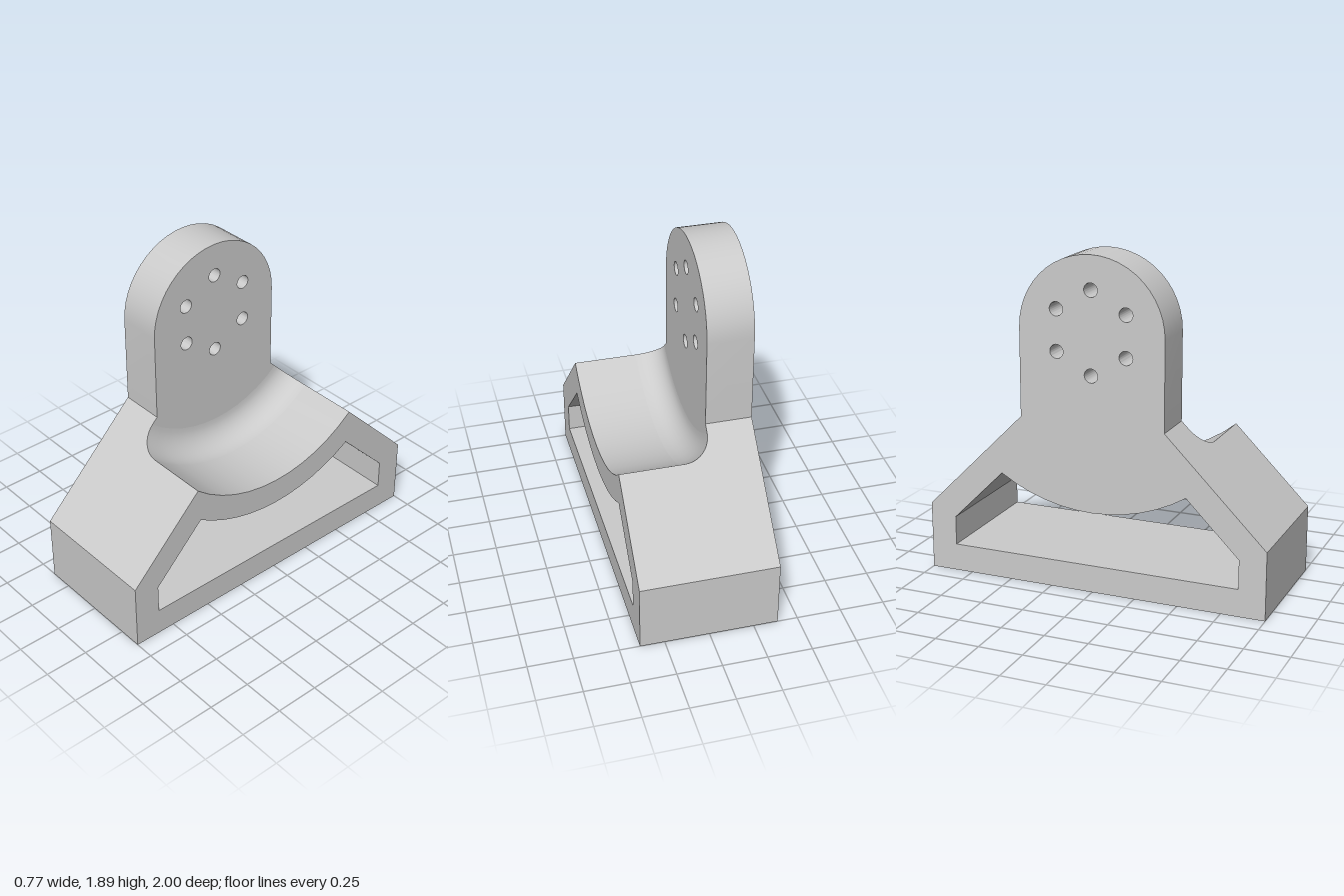
import * as THREE from 'three';
import { toCreasedNormals } from 'three/addons/utils/BufferGeometryUtils.js';

const AXIS_Y = 1.47;             // shared centre height of the plate, saddle and holes
const HALF = 0.387;              // half depth along x
const PLATE_FRONT = -0.127;
const SADDLE_R = 0.852, FILLET = 0.15, PLATE_R = 0.42;
const SLOPE = 1.388, INNER_SLOPE = 1.17; // y + |z| on the sloping sides
const V = (z, y) => new THREE.Vector2(z, y);

// Arc about the axis, hanging between the two sloping sides, from -z to +z
function hangingArc(radius, slope, steps = 12) {
  const d = AXIS_Y - slope;
  const u = (d + Math.sqrt(2 * radius * radius - d * d)) / 2;
  const a = Math.atan2(u - d, u);
  return Array.from({ length: steps + 1 }, (_, i) => {
    const t = -a + (2 * a * i) / steps;
    return V(radius * Math.sin(t), AXIS_Y - radius * Math.cos(t));
  });
}

// Extrude a counter-clockwise (z, y) outline along x between two positions
function extrudeX(outline, holes, x0, x1) {
  const shape = new THREE.Shape(outline);
  shape.holes = holes;
  const g = new THREE.ExtrudeGeometry(shape, { depth: x1 - x0, bevelEnabled: false, curveSegments: 24 });
  g.rotateY(Math.PI / 2).translate(x0, 0, 0);
  return toCreasedNormals(g, 0.45);
}

// Hollow base with the curved saddle on top
function frameGeometry() {
  const wall = SLOPE - 1, side = 0.847;
  const outline = [V(-1, wall), V(-1, 0), V(1, 0), V(1, wall), ...hangingArc(SADDLE_R, SLOPE).reverse()];
  const opening = [
    ...hangingArc(1.005, INNER_SLOPE),
    V(side, INNER_SLOPE - side), V(side, 0.157), V(-side, 0.157), V(-side, INNER_SLOPE - side),
  ];
  return extrudeX(outline, [new THREE.Path(opening)], -HALF, HALF);
}

// Upright round-topped plate with a ring of six holes
function plateGeometry() {
  const outline = [...hangingArc(SADDLE_R, SLOPE)];
  outline.push(V(PLATE_R, SLOPE - PLATE_R));
  for (let i = 0; i <= 24; i++) {
    const t = (Math.PI * i) / 24;
    outline.push(V(PLATE_R * Math.cos(t), AXIS_Y + PLATE_R * Math.sin(t)));
  }
  outline.push(V(-PLATE_R, SLOPE - PLATE_R));
  const holes = [];
  for (let i = 0; i < 6; i++) {
    const t = Math.PI / 2 + (i * Math.PI) / 3;
    holes.push(new THREE.Path().absarc(0.232 * Math.cos(t), AXIS_Y + 0.232 * Math.sin(t), 0.039, 0, Math.PI * 2));
  }
  return extrudeX(outline, holes, -HALF, PLATE_FRONT);
}

// Concave fillet swept between plate and saddle, closed on the sloping sides
function filletGeometry() {
  const rows = 10, cols = 12, grid = [], pos = [];
  for (let i = 0; i <= rows; i++) {
    const t = (Math.PI / 2) * (i / rows);
    const x = PLATE_FRONT + FILLET * (1 - Math.cos(t));
    const r = SADDLE_R - FILLET * (1 - Math.sin(t));
    grid.push(hangingArc(r, SLOPE, cols).map((p) => [x, p.y, p.x]));
  }
  const tri = (...pts) => pts.forEach((p) => pos.push(...p));
  const corner = (j) => [PLATE_FRONT, grid[rows][j][1], grid[rows][j][2]];
  for (let i = 0; i < rows; i++) {
    const a = grid[i], b = grid[i + 1];
    for (let j = 0; j < cols; j++) {
      tri(a[j], a[j + 1], b[j]);
      tri(a[j + 1], b[j + 1], b[j]);
    }
    tri(corner(cols), b[cols], a[cols]);
    tri(corner(0), a[0], b[0]);
  }
  const g = new THREE.BufferGeometry();
  g.setAttribute('position', new THREE.Float32BufferAttribute(pos, 3));
  return toCreasedNormals(g, 0.45);
}

export function createModel() {
  const group = new THREE.Group();
  group.name = 'mountingBracket';
  const grey = new THREE.MeshStandardMaterial({ color: 0xcbcbcb });
  grey.name = 'plain grey';
  const parts = { baseFrame: frameGeometry(), uprightPlate: plateGeometry(), saddleFillet: filletGeometry() };
  for (const [name, geometry] of Object.entries(parts)) {
    const mesh = new THREE.Mesh(geometry, grey);
    mesh.name = name;
    group.add(mesh);
  }
  return group;
}
